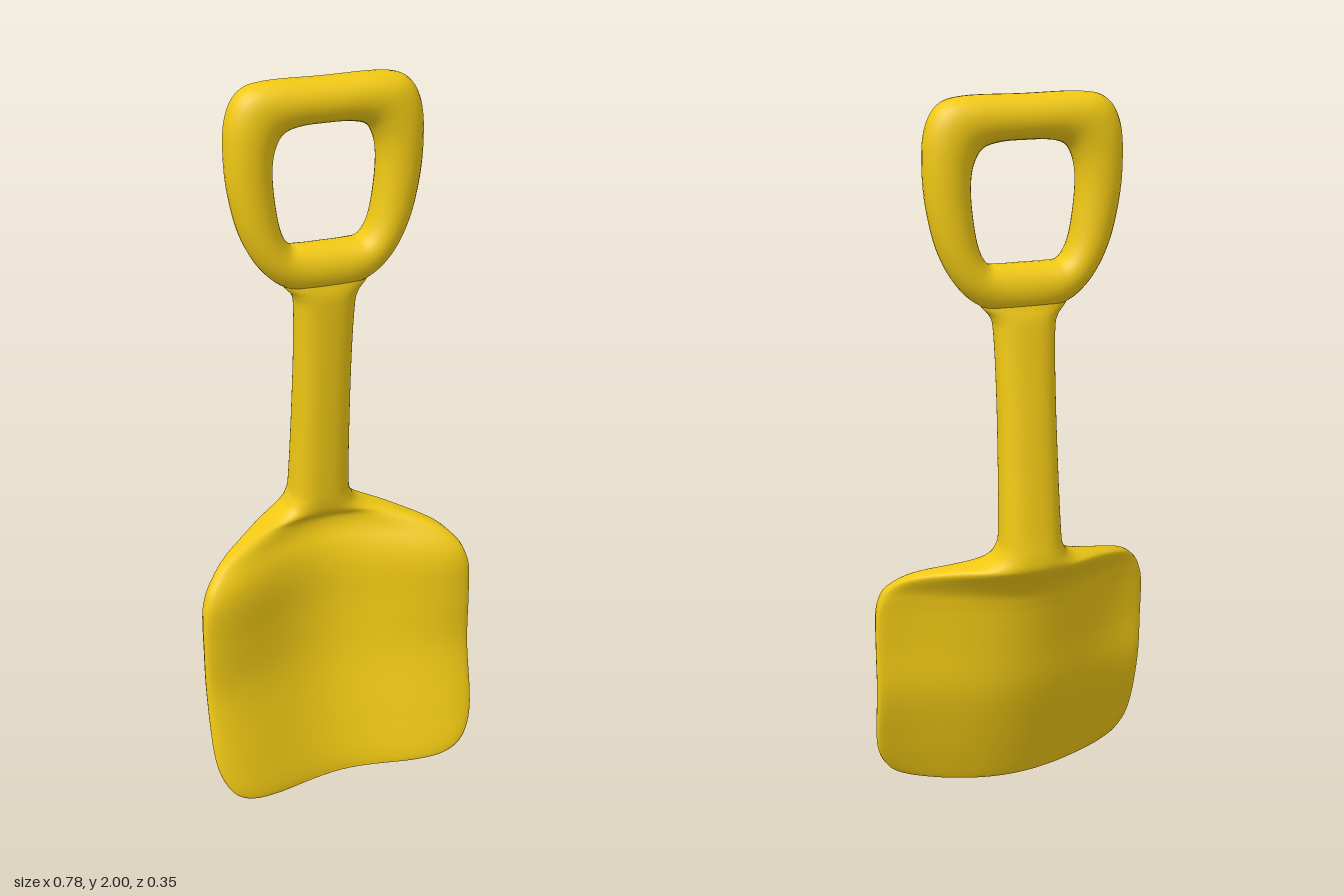
import * as THREE from 'three';

const SIDES = 56;

// Skin a list of rings (each an array of Vector3) into one smooth surface
function loft(rings, closed, material, name) {
  const n = rings[0].length, m = rings.length, index = [];
  for (let i = 0; i < (closed ? m : m - 1); i++) {
    for (let j = 0; j < n; j++) {
      const a = i * n + j, b = i * n + (j + 1) % n;
      const c = ((i + 1) % m) * n + j, d = ((i + 1) % m) * n + (j + 1) % n;
      index.push(a, c, b, b, c, d);
    }
  }
  const geometry = new THREE.BufferGeometry().setFromPoints(rings.flat());
  geometry.setIndex(index);
  geometry.computeVertexNormals();
  const mesh = new THREE.Mesh(geometry, material);
  mesh.name = name;
  return mesh;
}

const spline = (points, closed = false) => new THREE.CatmullRomCurve3(points, closed, 'catmullrom', 0.5);

// Blade and shaft: height, half width, front z, back z, side dish, squareness
const ROWS = [
  [0.003, 0.001, 0.106, 0.104, 0.075, 4],
  [0.005, 0.13, 0.112, 0.096, 0.075, 4],
  [0.012, 0.23, 0.112, 0.088, 0.075, 4],
  [0.033, 0.31, 0.11, 0.078, 0.075, 4],
  [0.08, 0.36, 0.1, 0.06, 0.075, 5],
  [0.17, 0.387, 0.075, 0.027, 0.077, 5],
  [0.35, 0.39, 0.025, -0.032, 0.085, 5],
  [0.5, 0.39, 0, -0.06, 0.105, 5],
  [0.6, 0.388, -0.01, -0.078, 0.115, 5],
  [0.65, 0.378, -0.018, -0.088, 0.118, 5],
  [0.69, 0.358, -0.03, -0.1, 0.118, 4],
  [0.735, 0.305, -0.05, -0.13, 0.115, 3.5],
  [0.77, 0.21, -0.053, -0.162, 0.11, 3],
  [0.795, 0.125, -0.035, -0.178, 0.09, 2.8],
  [0.83, 0.09, -0.026, -0.178, 0.05, 2.6],
  [0.9, 0.08, -0.02, -0.168, 0, 2.6],
  [1.2, 0.075, 0, -0.133, 0, 2.6],
  [1.4, 0.078, 0.013, -0.108, 0, 2.6],
  [1.45, 0.088, 0.015, -0.1, 0, 2.5],
  [1.48, 0.112, 0.01, -0.09, 0, 2.5],
  [1.52, 0.12, 0, -0.08, 0, 2.5],
];

function bladeAndShaft(material) {
  const size = spline(ROWS.map(r => new THREE.Vector3(r[0], r[1], r[2])));
  const form = spline(ROWS.map(r => new THREE.Vector3(r[3], r[4], r[5])));
  const steps = (ROWS.length - 1) * 5, rings = [];
  for (let i = 0; i <= steps; i++) {
    const { x: y, y: w, z: front } = size.getPoint(i / steps);
    const { x: back, y: dish, z: power } = form.getPoint(i / steps);
    const ring = [];
    for (let j = 0; j < SIDES; j++) {
      const a = j / SIDES * Math.PI * 2, c = Math.cos(a), x = w * c;
      const round = Math.pow(Math.max(0, 1 - Math.pow(Math.abs(c), power)), 1 / power);
      const bow = dish * (1 - Math.cos(Math.PI * x / 0.39)) / 2;
      const z = (front + back) / 2 + bow + Math.sign(Math.sin(a)) * round * (front - back) / 2;
      ring.push(new THREE.Vector3(x, y, z));
    }
    rings.push(ring);
  }
  return loft(rings, false, material, 'bladeAndShaft');
}

// D-shaped grip: right half of the outer and inner outlines, bottom to top
const OUTER = [[0, 1.46], [0.1, 1.475], [0.17, 1.53], [0.22, 1.62], [0.247, 1.73],
  [0.255, 1.83], [0.248, 1.92], [0.215, 1.98], [0.15, 2], [0, 2]];
const INNER = [[0, 1.585], [0.06, 1.585], [0.095, 1.59], [0.12, 1.635], [0.134, 1.72],
  [0.137, 1.79], [0.128, 1.84], [0.105, 1.875], [0.06, 1.888], [0, 1.89]];

function grip(material) {
  const outline = half => spline([
    ...half.map(([x, y]) => new THREE.Vector3(x, y, 0)),
    ...half.slice(1, -1).reverse().map(([x, y]) => new THREE.Vector3(-x, y, 0)),
  ], true);
  const outer = outline(OUTER), inner = outline(INNER), rings = [];
  const steps = 108;
  for (let i = 0; i < steps; i++) {
    const o = outer.getPoint(i / steps), p = inner.getPoint(i / steps), ring = [];
    for (let j = 0; j < 28; j++) {
      const b = j / 28 * Math.PI * 2;
      const v = p.clone().lerp(o, 0.5 + 0.5 * Math.cos(b));
      v.z = -0.04 + 0.06 * Math.sign(Math.sin(b)) * Math.pow(Math.abs(Math.sin(b)), 0.9);
      ring.push(v);
    }
    rings.push(ring);
  }
  return loft(rings, true, material, 'grip');
}

export function createModel() {
  const group = new THREE.Group();
  group.name = 'toySpade';
  const yellow = new THREE.MeshStandardMaterial({ color: 0xf0c814 });
  group.add(bladeAndShaft(yellow), grip(yellow));
  return group;
}
